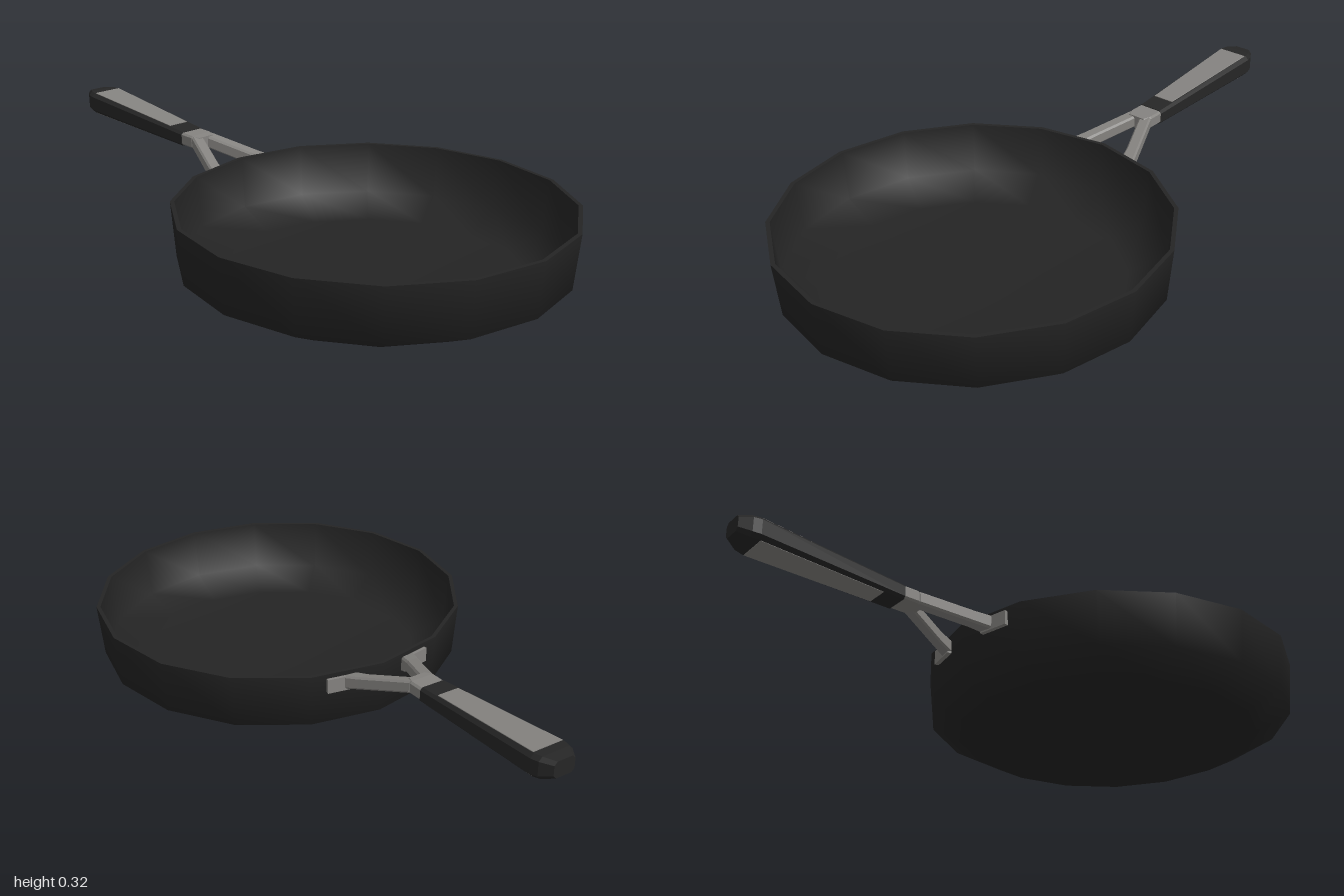
import * as THREE from 'three';

const black = new THREE.MeshStandardMaterial({ color: 0x262626 });
black.name = 'black coating';
const pan = new THREE.MeshStandardMaterial({ color: 0x242424 });
pan.name = 'pan black';
const steel = new THREE.MeshStandardMaterial({ color: 0x858380 });
steel.name = 'brushed steel';

// Chamfered rectangle, counter-clockwise as seen from +z
function section(z, cx, halfW, yLow, yHigh, c) {
  return [
    [halfW, yLow + c], [halfW, yHigh - c], [halfW - c, yHigh], [c - halfW, yHigh],
    [-halfW, yHigh - c], [-halfW, yLow + c], [c - halfW, yLow], [halfW - c, yLow],
  ].map(([x, y]) => [x + cx, y, z]);
}

// Skin over equal-sized rings running from +z to -z, with flat ends
function loft(rings) {
  const n = rings[0].length, last = (rings.length - 1) * n, index = [];
  for (let i = 0; i < rings.length - 1; i++) {
    for (let j = 0; j < n; j++) {
      const a = i * n + j, b = i * n + (j + 1) % n;
      index.push(a, a + n, b, b, a + n, b + n);
    }
  }
  for (let j = 1; j < n - 1; j++) {
    index.push(0, j, j + 1, last, last + j + 1, last + j);
  }
  const g = new THREE.BufferGeometry();
  g.setAttribute('position', new THREE.Float32BufferAttribute(rings.flat(2), 3));
  g.setIndex(index);
  const flat = g.toNonIndexed();
  flat.computeVertexNormals();
  return flat;
}

export function createModel() {
  const group = new THREE.Group();
  const add = (name, geometry, material) => {
    const mesh = new THREE.Mesh(geometry, material);
    mesh.name = name;
    group.add(mesh);
    return mesh;
  };

  // Pan: outer shell, narrow rim and inner bowl, all sixteen-sided
  const lathe = (name, points) => {
    const g = new THREE.LatheGeometry(points.map((p) => new THREE.Vector2(...p)), 16);
    add(name, g, pan).position.z = 0.39;
  };
  lathe('panOuter', [[0, 0], [0.465, 0], [0.59, 0.065], [0.605, 0.236]]);
  lathe('panRim', [[0.605, 0.236], [0.592, 0.236]]);
  lathe('panInner', [[0.592, 0.236], [0.577, 0.072], [0.46, 0.014], [0, 0.014]]);

  // Forked bracket fixed to the pan wall
  for (const side of [1, -1]) {
    add('bracketArm', loft([
      section(-0.185, side * 0.11, 0.026, 0.175, 0.22, 0.006),
      section(-0.24, side * 0.09, 0.022, 0.19, 0.232, 0.006),
      section(-0.40, side * 0.022, 0.022, 0.233, 0.274, 0.006),
    ]), steel);
    const plate = add('bracketPlate', new THREE.BoxGeometry(0.1, 0.046, 0.014), steel);
    plate.position.set(side * 0.133, 0.198, -0.191);
    plate.rotation.y = -side * 0.195;
  }
  add('bracketNeck', loft([
    section(-0.38, 0, 0.034, 0.229, 0.272, 0.006),
    section(-0.405, 0, 0.044, 0.233, 0.275, 0.006),
    section(-0.465, 0, 0.044, 0.234, 0.276, 0.006),
  ]), steel);

  // Flared handle grip
  add('handleGrip', loft([
    section(-0.455, 0, 0.046, 0.23, 0.278, 0.008),
    section(-0.94, 0, 0.064, 0.251, 0.322, 0.012),
    section(-0.965, 0, 0.058, 0.254, 0.323, 0.012),
    section(-1.0, 0, 0.036, 0.268, 0.319, 0.01),
  ]), black);

  // Steel inlays lying on the top and underside of the grip
  const gripY = (z, near, far) => near + (far - near) * (z + 0.455) / -0.485;
  const inlay = (name, near, far) => {
    const ring = (z, w) => {
      const y = gripY(z, near, far);
      return section(z, 0, w, y - 0.002, y + 0.002, 0.001);
    };
    add(name, loft([ring(-0.525, 0.037), ring(-0.935, 0.051)]), steel);
  };
  inlay('topInlay', 0.278, 0.322);
  inlay('undersideInlay', 0.23, 0.251);

  return group;
}
